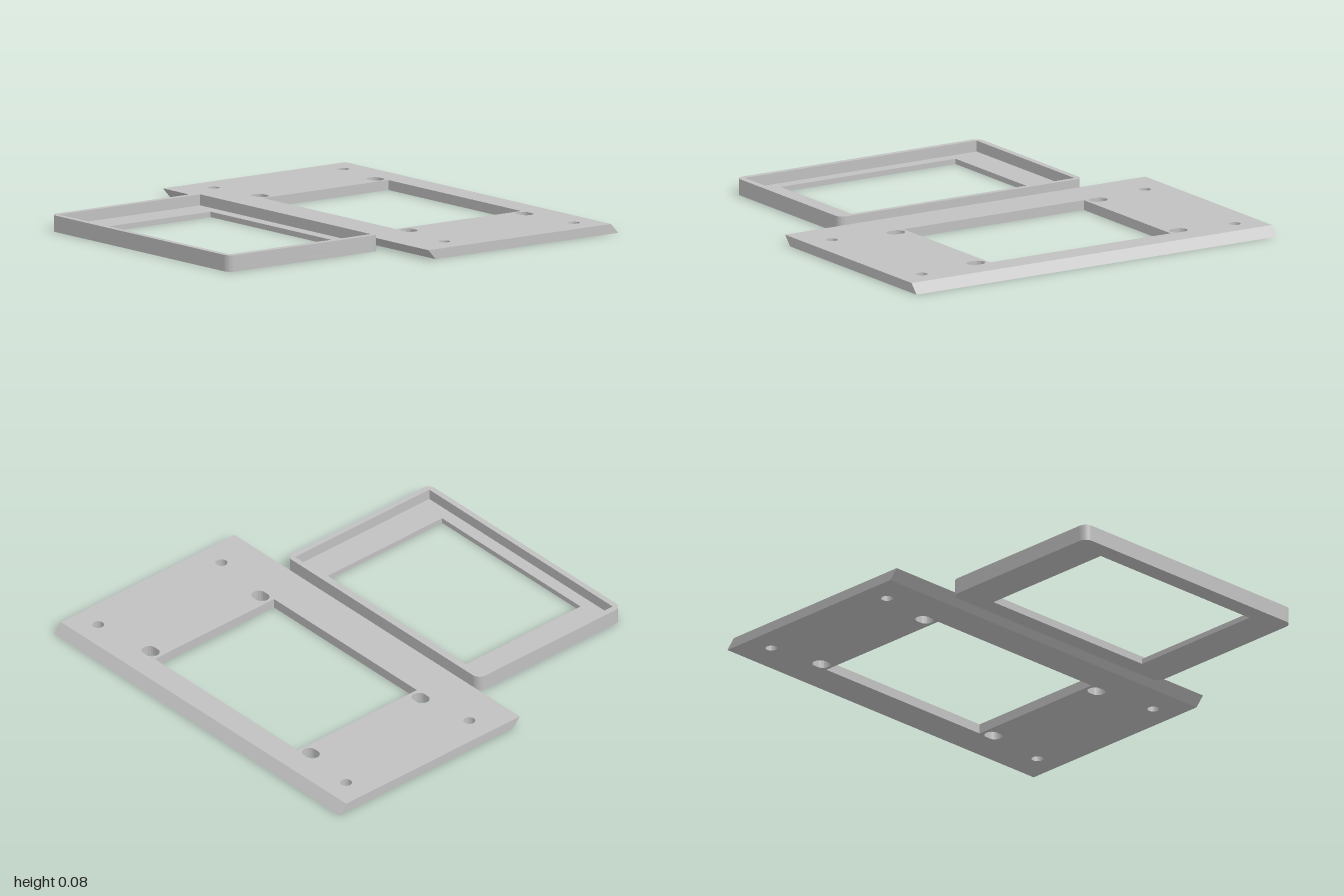
import * as THREE from 'three';
import { toCreasedNormals } from 'three/addons/utils/BufferGeometryUtils.js';

// Outlines are drawn in plan: shape x = model x, shape y = model z.
function rect(Type, x0, x1, z0, z1) {
  const p = new Type();
  p.moveTo(x0, z0).lineTo(x1, z0).lineTo(x1, z1).lineTo(x0, z1).closePath();
  return p;
}

// Rounded rectangle, also used for slots and round holes.
function rounded(Type, x0, x1, z0, z1, r) {
  const p = new Type();
  p.absarc(x1 - r, z0 + r, r, -Math.PI / 2, 0);
  p.absarc(x1 - r, z1 - r, r, 0, Math.PI / 2);
  p.absarc(x0 + r, z1 - r, r, Math.PI / 2, Math.PI);
  p.absarc(x0 + r, z0 + r, r, Math.PI, Math.PI * 1.5);
  p.closePath();
  return p;
}

// Extrude a plan outline upwards from y0 to y1.
function slab(shape, y0, y1) {
  const g = new THREE.ExtrudeGeometry(shape, { depth: y1 - y0, bevelEnabled: false, curveSegments: 10 });
  g.rotateX(Math.PI / 2);
  g.translate(0, y1, 0);
  return g;
}

export function createModel() {
  const group = new THREE.Group();
  const grey = new THREE.MeshStandardMaterial({ color: 0xc0c0c0 });
  grey.name = 'grey';

  const add = (parent, name, geometry) => {
    const mesh = new THREE.Mesh(toCreasedNormals(geometry, Math.PI / 6), grey);
    mesh.name = name;
    parent.add(mesh);
  };

  // Mounting plate: window, four screw holes and four slots
  const H = 0.046, back = -1, front = 0.098, slant = 0.042;
  const plate = rect(THREE.Shape, -0.977, 0.977, back, front);
  plate.holes.push(rect(THREE.Path, -0.507, 0.471, -0.836, -0.111));
  for (const z of [-0.845, -0.095]) {
    for (const x of [-0.849, 0.849]) {
      const hole = new THREE.Path();
      hole.absarc(x, z, 0.027, 0, Math.PI * 2);
      plate.holes.push(hole);
    }
  }
  for (const z of [-0.808, -0.14]) {
    for (const x of [-0.566, 0.531]) {
      plate.holes.push(rounded(THREE.Path, x - 0.044, x + 0.044, z - 0.034, z + 0.034, 0.0335));
    }
  }
  const plateGeometry = slab(plate, 0, H);

  // Slant the long edges: top set in at the back, bottom set in at the front
  const pos = plateGeometry.attributes.position;
  for (let i = 0; i < pos.count; i++) {
    const top = pos.getY(i) > H / 2, z = pos.getZ(i);
    if (top && z < back + 0.001) pos.setZ(i, back + slant);
    if (!top && z > front - 0.001) pos.setZ(i, front - slant);
  }
  add(group, 'mountingPlate', plateGeometry);

  // Bezel tray: thin floor with a window, surrounded by a raised rim
  const bezel = new THREE.Group();
  bezel.name = 'bezel';
  group.add(bezel);
  const outline = () => rounded(THREE.Shape, -0.659, 0.659, 0.13, 1, 0.04);
  const floor = outline();
  floor.holes.push(rect(THREE.Path, -0.476, 0.472, 0.216, 0.912));
  add(bezel, 'bezelFloor', slab(floor, 0, 0.025));
  const rim = outline();
  rim.holes.push(rect(THREE.Path, -0.629, 0.627, 0.156, 0.972));
  add(bezel, 'bezelRim', slab(rim, 0.025, 0.076));

  return group;
}
